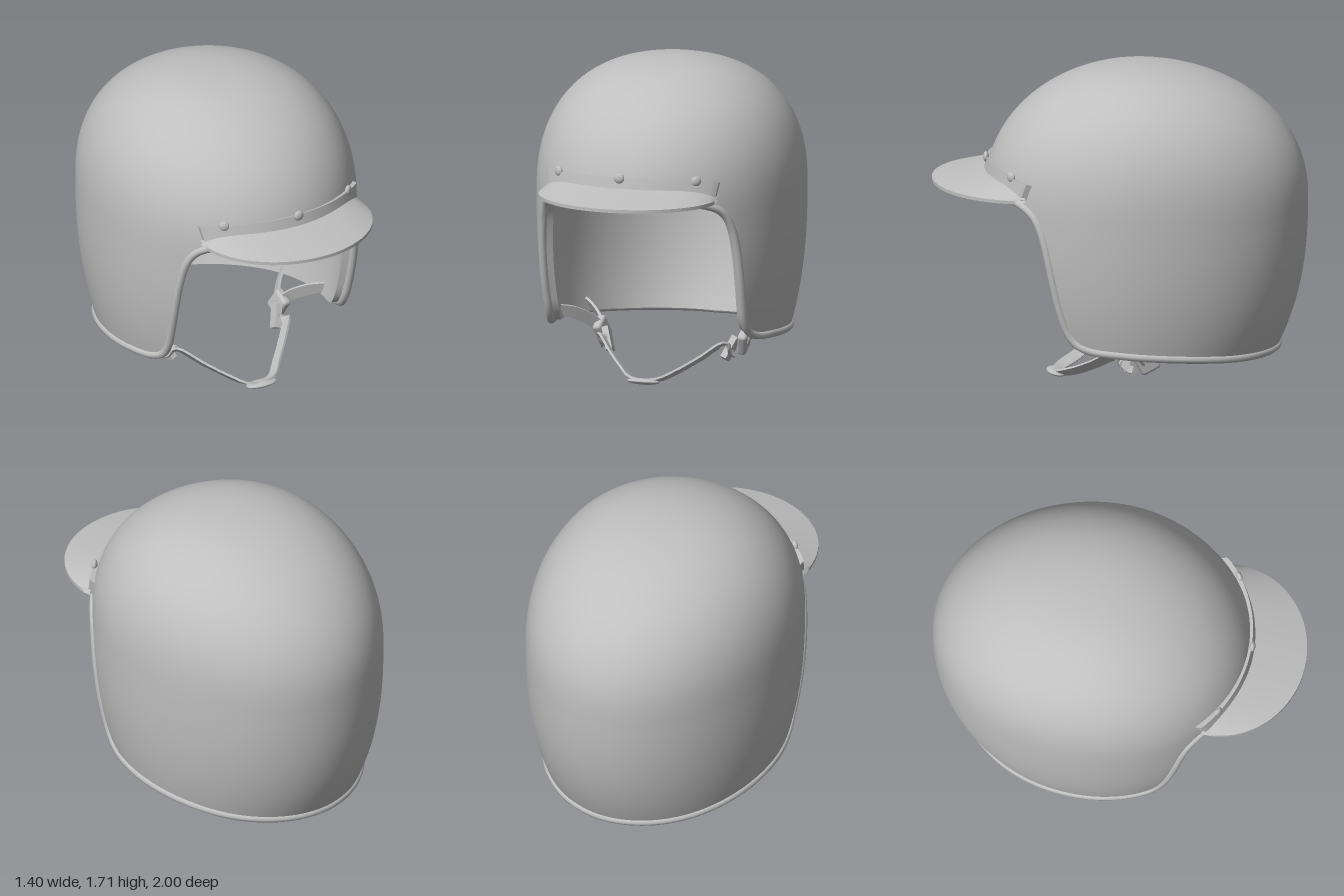
import * as THREE from 'three';
import { toCreasedNormals } from 'three/addons/utils/BufferGeometryUtils.js';
import { RoundedBoxGeometry } from 'three/addons/geometries/RoundedBoxGeometry.js';

const { lerp } = THREE.MathUtils;

// Shell surface: angle a runs around from the front, v runs from crown (0) over the widest ring (1) down
function shell(a, v, off = 0) {
  let rx, rz, y;
  if (v < 1) {
    const p = v * Math.PI / 2;
    const h = Math.pow(Math.max(Math.cos(p), 0), 0.952);
    rz = Math.pow(Math.sin(p), 0.952);
    rx = Math.pow(Math.max(1 - Math.pow(h, 2.4), 0), 1 / 2.4);
    y = 1 + (0.71 + off) * h;
  } else {
    y = 2 - v;
    const drop = Math.pow((1 - y) / 0.83, 2.5);
    rz = 1 - 0.18 * drop;
    rx = 1 - 0.14 * drop;
  }
  const depth = Math.cos(a) > 0 ? 0.82 : 0.9;
  return new THREE.Vector3((0.7 + off) * rx * Math.sin(a), y, -0.1 + (depth + off) * rz * Math.cos(a));
}
const vOf = (y) => (y < 1 ? 2 - y : Math.acos(Math.pow((y - 1) / 0.71, 1.05)) / (Math.PI / 2));

// Rim of one half as (angle, height): brow, face opening, lower edge, nape
const rimCurve = new THREE.CatmullRomCurve3([
  [0, 1.06], [0.35, 1.06], [0.65, 1.053], [0.8, 1.0], [0.868, 0.92], [0.915, 0.8], [0.986, 0.5],
  [1.024, 0.38], [1.074, 0.32], [1.172, 0.285], [1.43, 0.265], [1.7, 0.248], [1.97, 0.23],
  [2.3, 0.207], [2.7, 0.19], [Math.PI, 0.18],
].map(([a, y]) => new THREE.Vector3(a, y, 0)));

function rim(s) {
  const p = rimCurve.getPoint(Math.abs(s));
  return { a: p.x * Math.sign(s), v: vOf(p.y) };
}

// Surface from f(i, j); wrap joins the last column to the first
function grid(f, ni, nj, wrap = false, flip = false) {
  const pos = [], idx = [], cols = wrap ? ni : ni + 1;
  for (let i = 0; i < cols; i++) {
    for (let j = 0; j <= nj; j++) pos.push(...f(i, j).toArray());
  }
  for (let i = 0; i < ni; i++) {
    for (let j = 0; j < nj; j++) {
      const a = i * (nj + 1) + j, b = ((i + 1) % cols) * (nj + 1) + j;
      if (flip) idx.push(a, b, a + 1, b, b + 1, a + 1);
      else idx.push(a, a + 1, b, b, a + 1, b + 1);
    }
  }
  const g = new THREE.BufferGeometry();
  g.setAttribute('position', new THREE.Float32BufferAttribute(pos, 3));
  g.setIndex(idx);
  g.computeVertexNormals();
  return g;
}

// Solid strip: section(u) returns a closed loop of corners for u in -1..1
function solid(section, n) {
  const loops = [];
  for (let i = 0; i <= n; i++) {
    const loop = section(-1 + 2 * i / n);
    loops.push([...loop, loop[0]]);
  }
  return toCreasedNormals(grid((i, j) => loops[i][j], n, loops[0].length - 1), 0.7);
}

// Flat webbing along a path, with its width along a fixed direction
function strap(points, across, width, thick) {
  const curve = new THREE.CatmullRomCurve3(points.map((p) => new THREE.Vector3(...p)));
  const dir = new THREE.Vector3(...across).normalize();
  return solid((u) => {
    const t = (u + 1) / 2, c = curve.getPoint(t), tan = curve.getTangent(t);
    const w = dir.clone().addScaledVector(tan, -dir.dot(tan)).normalize();
    const n = tan.clone().cross(w);
    return [[1, 1], [1, -1], [-1, -1], [-1, 1]].map(([p, q]) =>
      c.clone().addScaledVector(w, p * width / 2).addScaledVector(n, q * thick / 2));
  }, 32);
}

export function createModel() {
  const model = new THREE.Group();
  const grey = new THREE.MeshStandardMaterial({ color: 0xbfbfbf, side: THREE.DoubleSide });
  grey.name = 'grey';
  const add = (name, geometry, parent = model) => {
    const mesh = new THREE.Mesh(geometry, grey);
    mesh.name = name;
    parent.add(mesh);
    return mesh;
  };

  // Outer shell, lining and the band between them
  const N = 240, M = 40;
  const rims = Array.from({ length: N }, (_, i) => {
    const s = -1 + 2 * i / N;
    return { ...rim(s), top: 0.5 * Math.PI * s + 0.5 * rim(s).a };
  });
  const skin = (off) => (i, j) => {
    const t = j / M, r = rims[i];
    return shell(lerp(r.top, r.a, t), r.v * t, off);
  };
  add('outerShell', grid(skin(0), N, M, true));
  add('lining', grid(skin(-0.065), N, M, true, true));
  add('rimBand', grid((i, j) => shell(rims[i].a, rims[i].v, -0.065 * j), N, 1, true));

  // Rolled trim along the whole rim
  const rimPath = new THREE.CatmullRomCurve3(rims.map((r) => shell(r.a, r.v, -0.006)), true);
  add('rimTrim', new THREE.TubeGeometry(rimPath, 320, 0.022, 10, true));

  // Peak: mounting band, brim and three snaps
  const peak = new THREE.Group();
  peak.name = 'peak';
  model.add(peak);
  add('peakBand', solid((u) => {
    const out = (0.016 + 0.014 * u * u) * Math.sqrt(1 - Math.pow(u, 40));
    const top = vOf(1.2 - 0.035 * u * u), low = vOf(1.11 - 0.04 * u * u);
    const aTop = 0.775 * u, aLow = 0.735 * u;
    return [shell(aTop, top, -0.004), shell(aTop, top, out), shell(aLow, low, out), shell(aLow, low, -0.004)];
  }, 64), peak);
  add('peakBrim', solid((u) => {
    const root = shell(0.75 * u, vOf(1.145 - 0.055 * Math.pow(u, 6)), 0.012);
    const b = u * Math.PI / 2;
    const tip = new THREE.Vector3(0.485 * Math.sin(b), 1.095 - 0.012 * u * u, 0.56 + 0.44 * Math.cos(b));
    const top = [0, 0.33, 0.67, 1].map((t) => root.clone().lerp(tip, t));
    const under = top.map((p) => p.clone().setY(p.y - 0.018)).reverse();
    return [...top, ...under];
  }, 64), peak);
  for (const [a, y] of [[-0.58, 1.183], [0, 1.197], [0.58, 1.183]]) {
    const snap = add('peakSnap', new THREE.SphereGeometry(0.028, 20, 12), peak);
    snap.position.copy(shell(a, vOf(y), 0.02));
    snap.rotation.y = Math.atan2(Math.sin(a) / 0.7, Math.cos(a) / 0.82);
    snap.scale.z = 0.55;
  }

  // Chin harness: the same straps and buckle on each side
  for (const side of [1, -1]) {
    const harness = new THREE.Group();
    harness.name = side > 0 ? 'leftHarness' : 'rightHarness';
    model.add(harness);
    const mirror = (pts) => pts.map(([x, y, z]) => [x * side, y, z]);
    add('frontAnchorStrap', strap(mirror([[0.575, 0.31, 0.05], [0.52, 0.295, 0.0], [0.44, 0.235, -0.09], [0.4, 0.18, -0.13]]),
      [0, 1, 0.3], 0.065, 0.014), harness);
    add('rearAnchorStrap', strap(mirror([[0.56, 0.285, -0.33], [0.5, 0.26, -0.28], [0.43, 0.22, -0.2], [0.4, 0.18, -0.14]]),
      [0, 0.8, 0.6], 0.065, 0.014), harness);
    add('chinStrap', strap(mirror([[0.36, 0.12, -0.07], [0.34, 0.185, 0.035], [0.25, 0.125, 0.14],
      [0.16, 0.07, 0.23], [0.08, 0.035, 0.31], [0, 0.026, 0.335]]), [0, 0.35, 0.93], 0.058, 0.012), harness);
    const buckle = add('buckle', new RoundedBoxGeometry(0.05, 0.13, 0.11, 3, 0.018), harness);
    buckle.position.set(0.4 * side, 0.18, -0.135);
    buckle.rotation.set(0.5, 0, -0.2 * side);
    const plate = add('bucklePlate', new THREE.BoxGeometry(0.035, 0.13, 0.06), harness);
    plate.position.set(0.345 * side, 0.145, -0.075);
    plate.rotation.set(-0.5, 0, -0.36 * side);
  }

  // Chin cup
  const cup = add('chinCup', new THREE.SphereGeometry(1, 28, 16));
  cup.scale.set(0.09, 0.017, 0.057);
  cup.position.set(0, 0.022, 0.335);
  cup.rotation.x = -0.2;

  return model;
}
